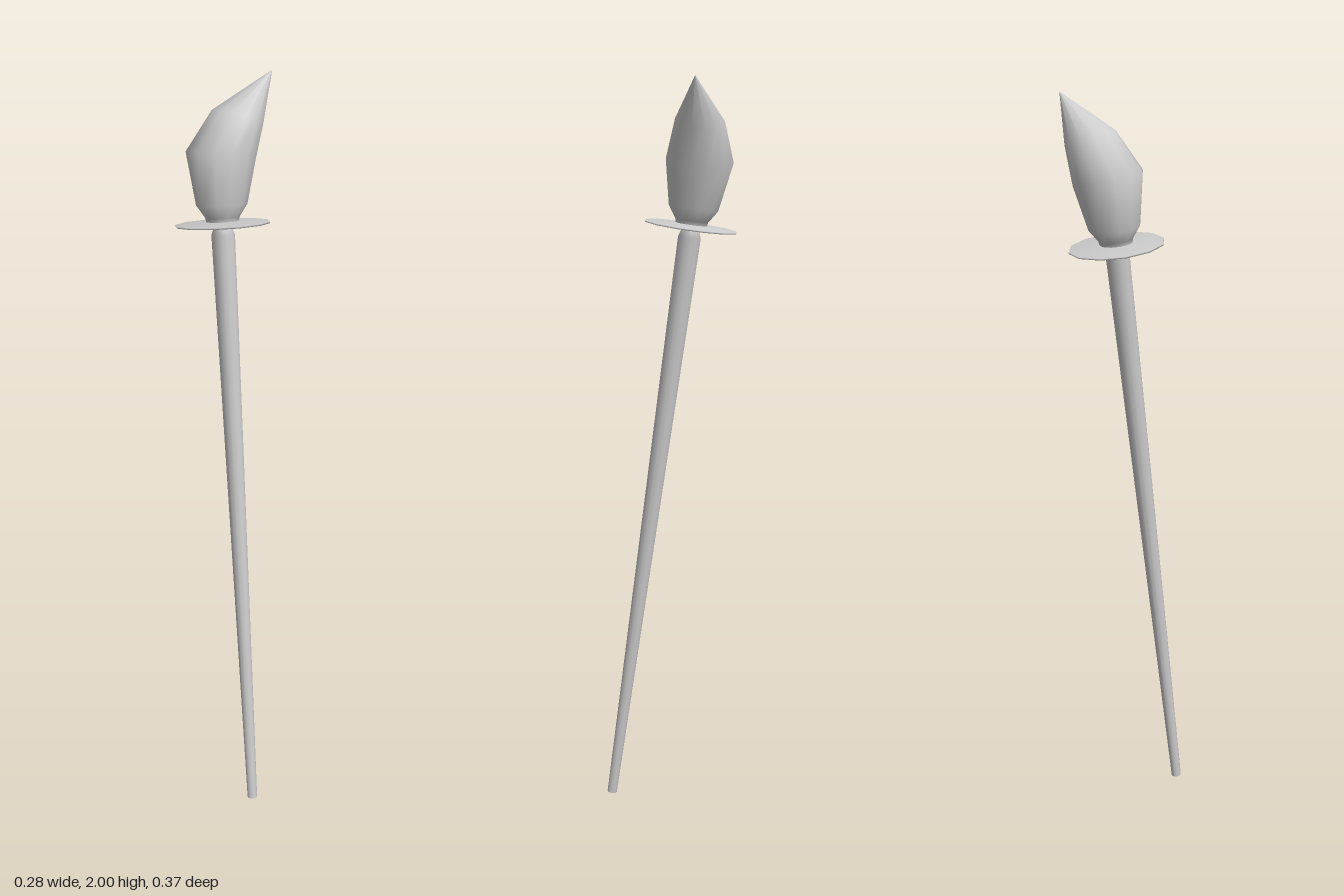
import * as THREE from 'three';

const SIDES = 12;

// Skins a stack of rings. Each ring: [height, radius, sideways shift, tilt].
function loft(rings) {
  const positions = [], index = [];
  rings.forEach(([h, r, shift = 0, tilt = 0], j) => {
    for (let i = 0; i < SIDES; i++) {
      const a = (i / SIDES) * Math.PI * 2;
      const x = r * Math.cos(a);
      positions.push(shift + x, h - tilt * x, r * Math.sin(a));
      if (j === 0) continue;
      const k = (i + 1) % SIDES;
      const lo = (j - 1) * SIDES, hi = j * SIDES;
      index.push(lo + i, hi + i, lo + k, lo + k, hi + i, hi + k);
    }
  });
  const geometry = new THREE.BufferGeometry();
  geometry.setAttribute('position', new THREE.Float32BufferAttribute(positions, 3));
  geometry.setIndex(index);
  geometry.computeVertexNormals();
  return geometry;
}

export function createModel() {
  const model = new THREE.Group();
  model.name = 'leaningTorch';
  const material = new THREE.MeshStandardMaterial({ color: 0xcccccc, side: THREE.DoubleSide });

  const add = (name, rings) => {
    const mesh = new THREE.Mesh(loft(rings), material);
    mesh.name = name;
    torch.add(mesh);
  };

  // Everything sits on one axis that leans backwards
  const torch = new THREE.Group();
  torch.name = 'torch';
  torch.position.set(-0.018, 0.002, 0.172);
  torch.rotation.x = -0.1416;
  model.add(torch);

  // Tapered pole with a flat foot (doubled ring keeps its edge sharp)
  add('shaft', [[0, 0], [0, 0.014], [0, 0.014], [1.615, 0.031], [1.638, 0.022]]);

  // Thin round plate
  add('guard', [[1.638, 0.022], [1.641, 0.1235], [1.645, 0.1235], [1.65, 0.043]]);

  // Flame that swells above the neck and bends to a point on one side
  add('flame', [
    [1.65, 0.043],
    [1.66, 0.045],
    [1.692, 0.067],
    [1.815, 0.09, 0.004, 0.17],
    [1.909, 0.066, 0.055, 0.3],
    [2.018, 0, 0.155],
  ]);

  return model;
}
